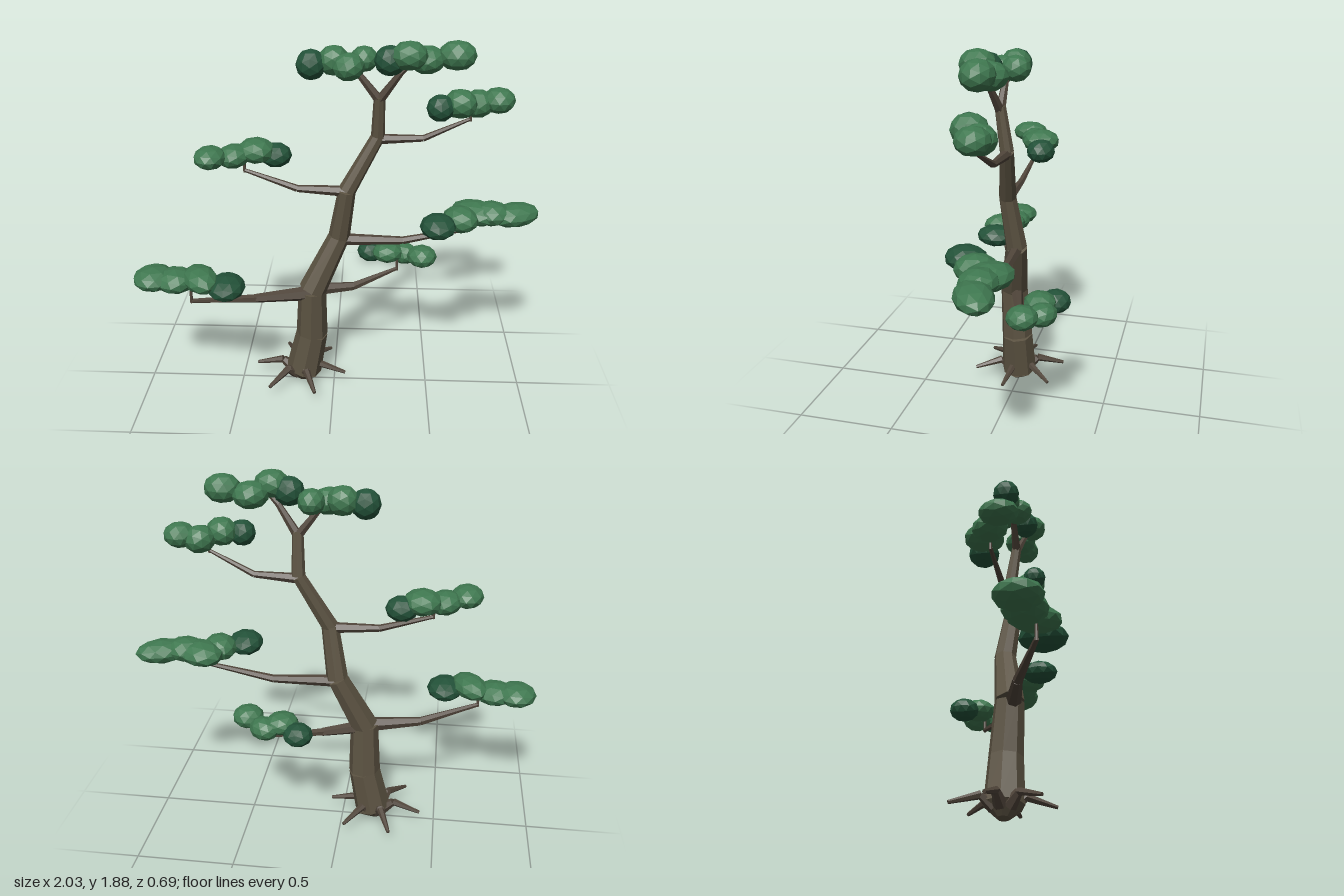
import * as THREE from 'three';

const flat = (name, color) => {
  const m = new THREE.MeshStandardMaterial({ color, flatShading: true });
  m.name = name;
  return m;
};

export function createModel() {
  const bark = flat('bark', 0x5c5342);
  const branchBark = flat('branchBark', 0x51463b);
  const leaf = flat('leafGreen', 0x3f7850);
  const darkLeaf = flat('darkLeafGreen', 0x235239);

  const tree = new THREE.Group();
  tree.name = 'tree';

  // Chain of tapered straight segments; each point is [x, y, z, radius]
  function limb(name, points, sides, material) {
    const group = new THREE.Group();
    group.name = name;
    for (let i = 0; i < points.length - 1; i++) {
      const a = new THREE.Vector3(...points[i].slice(0, 3));
      const b = new THREE.Vector3(...points[i + 1].slice(0, 3));
      const dir = b.clone().sub(a);
      const geo = new THREE.CylinderGeometry(points[i + 1][3], points[i][3], dir.length(), sides);
      const mesh = new THREE.Mesh(geo, material);
      mesh.name = name + 'Segment';
      mesh.position.copy(a).add(b).multiplyScalar(0.5);
      mesh.quaternion.setFromUnitVectors(new THREE.Vector3(0, 1, 0), dir.normalize());
      group.add(mesh);
    }
    tree.add(group);
  }

  // Row of faceted blobs; each is [x, y, z, rx, ry, rz], the first one dark
  const blob = new THREE.IcosahedronGeometry(1, 1);
  function foliage(name, blobs) {
    const group = new THREE.Group();
    group.name = name;
    blobs.forEach(([x, y, z, rx, ry, rz], i) => {
      const mesh = new THREE.Mesh(blob, i === 0 ? darkLeaf : leaf);
      mesh.name = i === 0 ? 'darkLeafPad' : 'leafPad';
      mesh.position.set(x, y, z);
      mesh.scale.set(rx, ry, rz);
      mesh.rotation.y = i * 0.5;
      group.add(mesh);
    });
    tree.add(group);
  }

  // Trunk with its pointed foot
  limb('trunk', [
    [-0.18, 0.01, 0, 0.03], [-0.165, 0.07, 0, 0.095], [-0.118, 0.3, 0, 0.083],
    [-0.112, 0.57, 0.015, 0.072], [0.025, 0.86, -0.03, 0.055], [0.065, 1.13, 0.005, 0.044],
    [0.212, 1.4, -0.03, 0.034], [0.215, 1.61, 0, 0.027],
  ], 8, bark);

  // Roots fanned around the foot
  for (let i = 0; i < 6; i++) {
    const t = (9 + 60 * i) * Math.PI / 180;
    const at = (r, y, radius) => [-0.18 + r * Math.cos(t), y, r * Math.sin(t), radius];
    limb('root', [at(0.04, 0.06, 0.035), at(0.1, 0.11, 0.02), at(0.245, 0.07, 0.009)], 6, branchBark);
  }

  // Fork at the crown
  limb('leftFork', [[0.215, 1.59, 0, 0.024], [0.12, 1.71, 0, 0.016], [0.07, 1.76, 0, 0.01]], 6, branchBark);
  limb('rightFork', [[0.215, 1.59, 0, 0.024], [0.31, 1.73, 0.03, 0.015], [0.36, 1.78, 0.04, 0.01]], 6, branchBark);

  // Side branches, each ending in a short upright twig
  const branches = {
    lowRightBranch: [[-0.11, 0.56, 0.03, 0.04], [-0.4, 0.56, 0.1, 0.023], [-0.7, 0.612, 0.225, 0.011], 0.69],
    lowLeftBranch: [[-0.1, 0.565, 0, 0.035], [0.1, 0.553, -0.06, 0.022], [0.33, 0.595, -0.19, 0.01], 0.66],
    midLeftBranch: [[0.025, 0.845, -0.03, 0.032], [0.35, 0.84, -0.04, 0.02], [0.695, 0.912, -0.05, 0.01], 0.97],
    highRightBranch: [[0.06, 1.125, 0, 0.028], [-0.18, 1.135, 0, 0.018], [-0.44, 1.22, -0.02, 0.009], 1.28],
    highLeftBranch: [[0.21, 1.388, -0.03, 0.026], [0.43, 1.397, -0.025, 0.016], [0.645, 1.502, -0.01, 0.008], 1.56],
  };
  for (const [name, [root, elbow, tip, top]] of Object.entries(branches)) {
    limb(name, [root, elbow, tip], 6, branchBark);
    limb('twig', [[tip[0], tip[1] - 0.01, tip[2], 0.008], [tip[0], top, tip[2], 0.007]], 6, branchBark);
  }

  // Foliage pads
  foliage('lowRightFoliage', [
    [-0.52, 0.7, 0.23, 0.095, 0.06, 0.11], [-0.65, 0.73, 0.21, 0.085, 0.06, 0.125],
    [-0.78, 0.71, 0.19, 0.1, 0.06, 0.1], [-0.89, 0.715, 0.18, 0.108, 0.058, 0.105],
  ]);
  foliage('lowLeftFoliage', [
    [0.19, 0.66, -0.27, 0.075, 0.058, 0.075], [0.28, 0.685, -0.21, 0.085, 0.055, 0.08],
    [0.365, 0.665, -0.24, 0.068, 0.058, 0.08], [0.46, 0.685, -0.165, 0.078, 0.058, 0.08],
  ]);
  foliage('midLeftFoliage', [
    [0.515, 0.98, 0.08, 0.09, 0.06, 0.1], [0.63, 0.985, 0, 0.085, 0.065, 0.1],
    [0.71, 0.985, -0.08, 0.1, 0.06, 0.13], [0.79, 0.992, -0.06, 0.09, 0.06, 0.1],
    [0.91, 0.98, -0.075, 0.088, 0.058, 0.135],
  ]);
  foliage('highLeftFoliage', [
    [0.497, 1.575, 0.06, 0.066, 0.065, 0.066], [0.59, 1.588, 0.03, 0.075, 0.07, 0.085],
    [0.68, 1.568, -0.04, 0.08, 0.068, 0.075], [0.775, 1.585, -0.04, 0.078, 0.062, 0.08],
  ]);
  foliage('highRightFoliage', [
    [-0.29, 1.28, -0.08, 0.08, 0.062, 0.075], [-0.385, 1.31, -0.06, 0.095, 0.062, 0.098],
    [-0.49, 1.295, -0.015, 0.09, 0.058, 0.08], [-0.595, 1.308, 0.045, 0.095, 0.055, 0.08],
  ]);
  foliage('crownRightFoliage', [
    [-0.105, 1.755, -0.005, 0.072, 0.074, 0.07], [0, 1.772, -0.02, 0.075, 0.072, 0.075],
    [0.07, 1.755, 0.03, 0.08, 0.066, 0.075], [0.14, 1.772, -0.055, 0.07, 0.062, 0.065],
  ]);
  foliage('crownLeftFoliage', [
    [0.26, 1.79, 0.045, 0.075, 0.072, 0.07], [0.345, 1.818, 0.065, 0.085, 0.068, 0.085],
    [0.43, 1.782, -0.01, 0.09, 0.066, 0.085], [0.565, 1.806, 0, 0.078, 0.07, 0.09],
  ]);

  return tree;
}
